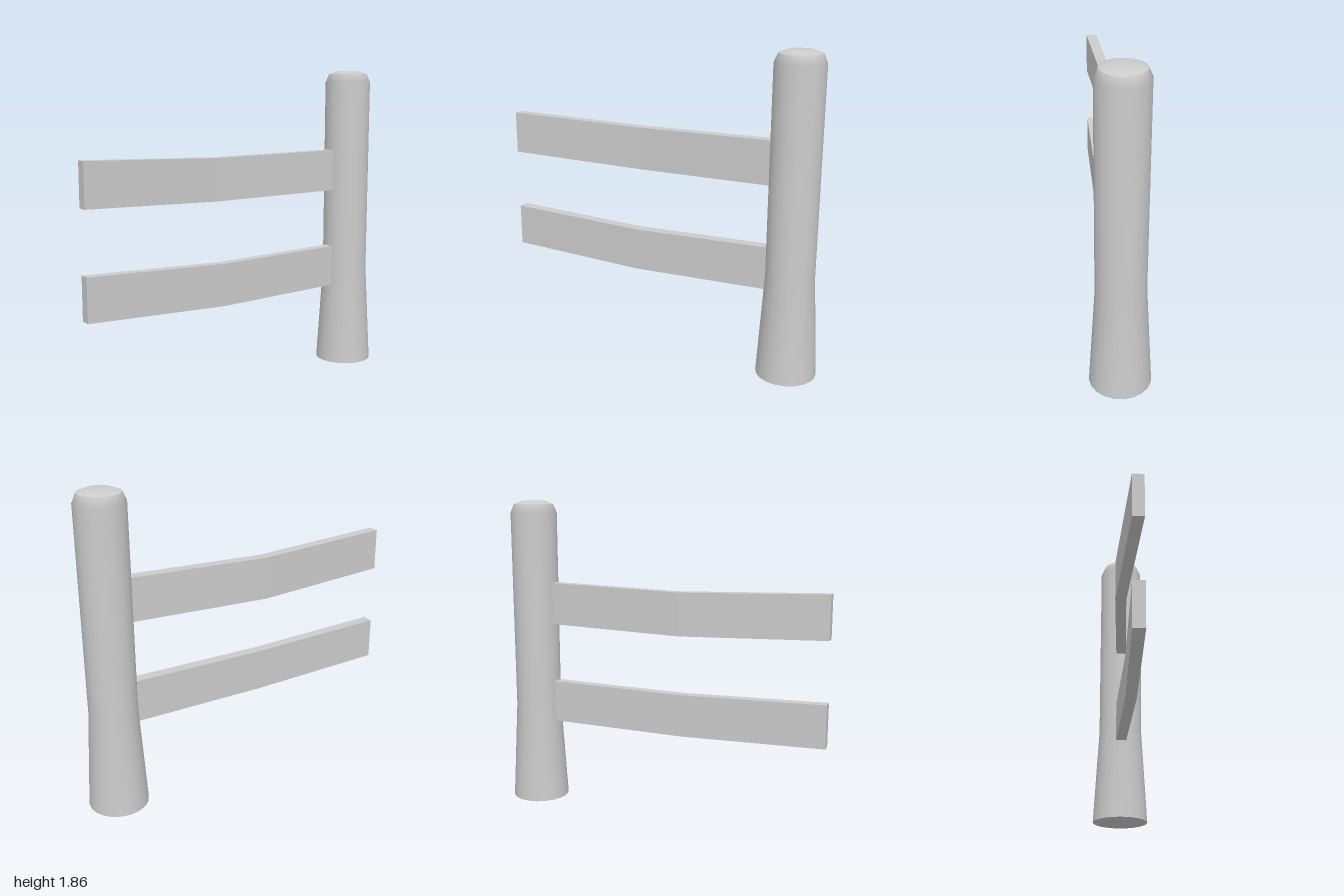
import * as THREE from 'three';

const material = new THREE.MeshStandardMaterial({ color: 0xcccccc });
const POST_X = 0.825;

// Round post with a flared foot and a chamfered top
function makePost() {
  const profile = [[0.174, 0], [0.139, 0.6], [0.14, 1.79], [0.118, 1.842], [0.07, 1.86], [0, 1.86]]
    .map(([r, y]) => new THREE.Vector2(r, y));
  const post = new THREE.Group();
  post.name = 'post';
  const body = new THREE.Mesh(new THREE.LatheGeometry(profile.slice(0, 4), 20), material);
  body.name = 'postBody';
  const cap = new THREE.Mesh(new THREE.LatheGeometry(profile.slice(3), 20), material);
  cap.name = 'postCap';
  const foot = new THREE.Mesh(new THREE.CircleGeometry(0.174, 20).rotateX(Math.PI / 2), material);
  foot.name = 'postFoot';
  // start the base disc on the same corner as the lathe
  foot.rotation.y = Math.PI / 2;
  post.add(body, cap, foot);
  post.position.x = POST_X;
  return post;
}

// Plank bent at its middle: it sags by `sag` and bows by `bow` in z
function makeRail(name, y, sag, bow) {
  const geometry = new THREE.BoxGeometry(1.72, 0.253, 0.065, 2, 1, 1);
  const p = geometry.attributes.position;
  for (let i = 0; i < p.count; i++) {
    if (Math.abs(p.getX(i)) < 0.01) {
      p.setY(i, p.getY(i) - sag);
      p.setZ(i, p.getZ(i) + bow);
    }
  }
  const flat = geometry.toNonIndexed();
  flat.computeVertexNormals();
  const rail = new THREE.Mesh(flat, material);
  rail.name = name;
  rail.position.set(-0.14, y, -0.002);
  return rail;
}

export function createModel() {
  const fence = new THREE.Group();
  fence.name = 'fence';
  fence.add(
    makePost(),
    makeRail('upperRail', 1.243, 0.02, -0.045),
    makeRail('lowerRail', 0.63, 0.021, 0.014),
  );
  return fence;
}
